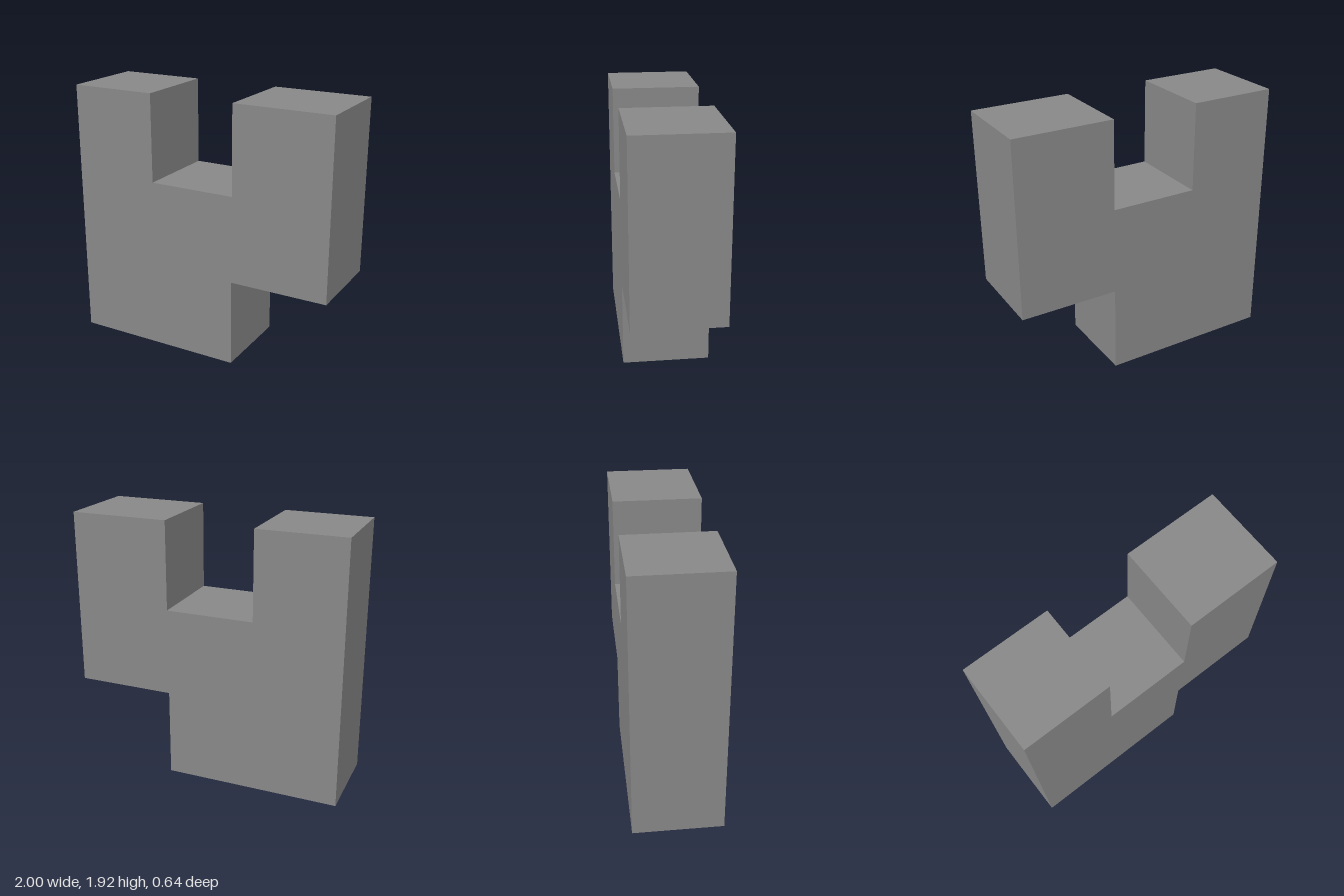
import * as THREE from 'three';

export function createModel() {
  const group = new THREE.Group();
  group.name = 'puzzlePiece';

  // Outline of the block, counter-clockwise from the lower left corner
  const outline = [
    [-1, 0], [0.283, 0], [0.283, 0.645], [1, 0.645],
    [1, 1.925], [0.283, 1.925], [0.283, 1.283],
    [-0.36, 1.283], [-0.36, 1.925], [-1, 1.925],
  ].map(([x, y]) => new THREE.Vector2(x, y));

  // One solid slab with a notch at the top and a step under the left arm
  const depth = 0.64;
  const geometry = new THREE.ExtrudeGeometry(new THREE.Shape(outline), { depth, bevelEnabled: false });
  geometry.translate(0, 0, -depth / 2);

  const material = new THREE.MeshStandardMaterial({ color: 0x888888, flatShading: true });
  const block = new THREE.Mesh(geometry, material);
  block.name = 'notchedBlock';
  group.add(block);
  return group;
}
